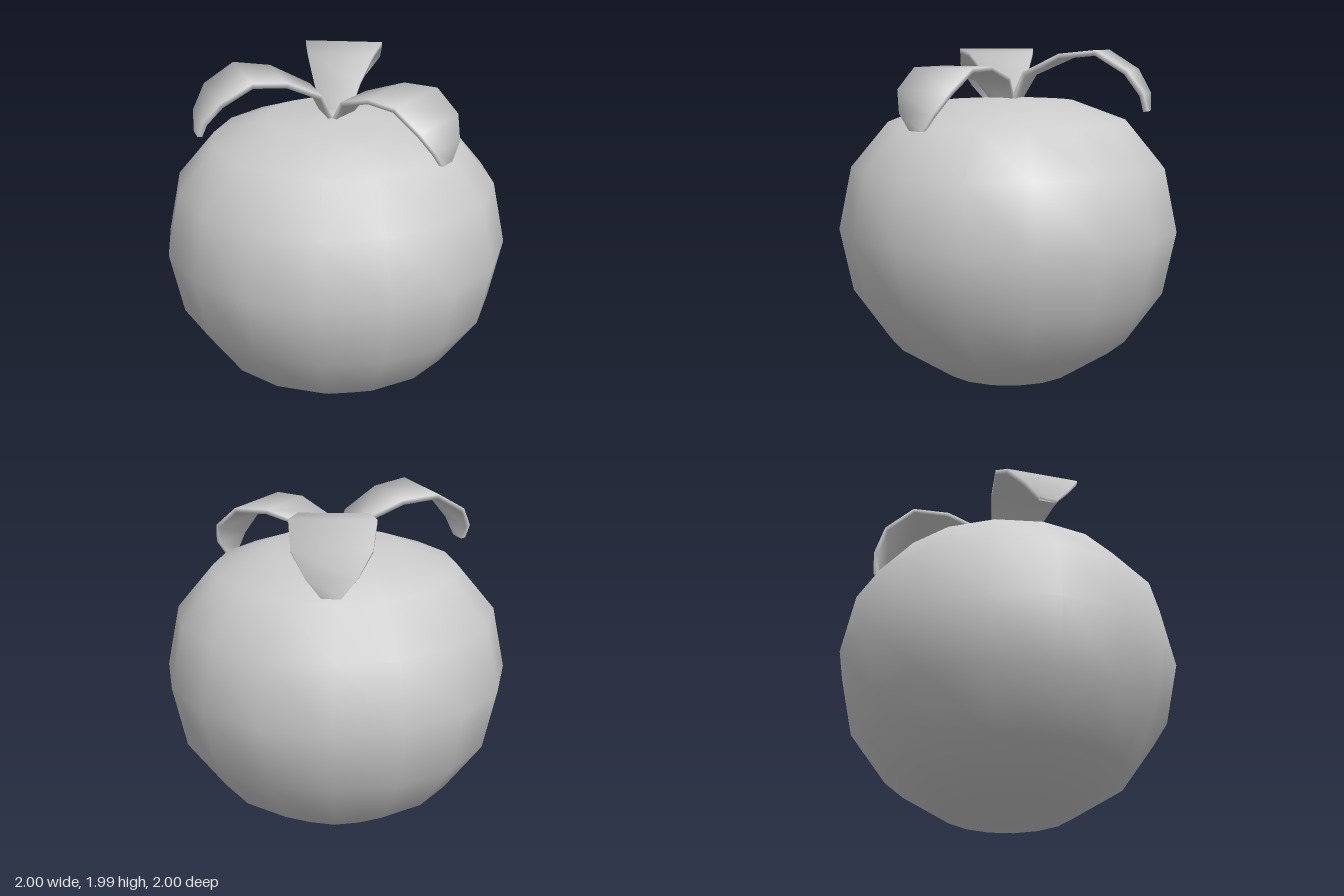
import * as THREE from 'three';

const material = new THREE.MeshStandardMaterial({ color: 0xcccccc });

// Round fruit: a 16-sided lathe, flattened on top
function makeBody() {
  const profile = [
    [0, 0.01], [0.383, 0.08], [0.707, 0.285], [0.924, 0.59], [1, 0.955],
    [0.924, 1.32], [0.707, 1.58], [0.383, 1.70], [0, 1.722],
  ].map(([r, y]) => new THREE.Vector2(r, y));
  const body = new THREE.Mesh(new THREE.LatheGeometry(profile, 16), material);
  body.name = 'fruitBody';
  return body;
}

// Leaf sections along +x: distance, height above the root, half width
const SECTIONS = [
  [0.03, -0.03, 0.07], [0.12, 0.155, 0.13], [0.33, 0.26, 0.19], [0.53, 0.285, 0.225],
  [0.70, 0.185, 0.205], [0.78, 0.065, 0.13], [0.795, -0.03, 0.05],
];
const HALF_THICKNESS = 0.014;

// Thin arched solid with four corners per section and softly rounded normals
function makeLeafGeometry() {
  const positions = [], normals = [], index = [];
  const last = SECTIONS.length - 1;
  SECTIONS.forEach(([x, y, w], i) => {
    const p = SECTIONS[Math.max(i - 1, 0)], q = SECTIONS[Math.min(i + 1, last)];
    const up = new THREE.Vector2(p[1] - q[1], q[0] - p[0]).normalize();
    for (const [v, s] of [[1, 1], [1, -1], [-1, -1], [-1, 1]]) {
      positions.push(x + up.x * v * HALF_THICKNESS, y + up.y * v * HALF_THICKNESS, s * w);
      const n = new THREE.Vector3(up.x * v, up.y * v, s * 0.8).normalize();
      normals.push(n.x, n.y, n.z);
    }
  });
  for (let i = 0; i < last; i++) {
    for (let k = 0; k < 4; k++) {
      const a = i * 4 + k, b = i * 4 + (k + 1) % 4;
      index.push(a, a + 4, b + 4, a, b + 4, b);
    }
  }
  // End caps
  const t = last * 4;
  index.push(0, 1, 2, 0, 2, 3, t, t + 2, t + 1, t, t + 3, t + 2);
  const geometry = new THREE.BufferGeometry();
  geometry.setAttribute('position', new THREE.Float32BufferAttribute(positions, 3));
  geometry.setAttribute('normal', new THREE.Float32BufferAttribute(normals, 3));
  geometry.setIndex(index);
  return geometry;
}

export function createModel() {
  const model = new THREE.Group();
  model.name = 'leafyFruit';
  model.add(makeBody());

  // Three leaves fanned around the top
  const leafGeometry = makeLeafGeometry();
  const leaves = [
    { name: 'rightLeaf', yaw: 180, pitch: 0, scale: 1 },
    { name: 'backLeaf', yaw: 67, pitch: -1.5, scale: 1.03 },
    { name: 'frontLeaf', yaw: -51, pitch: -9, scale: 0.93 },
  ];
  for (const { name, yaw, pitch, scale } of leaves) {
    const leaf = new THREE.Mesh(leafGeometry, material);
    leaf.name = name;
    leaf.position.y = 1.7;
    leaf.rotation.set(0, THREE.MathUtils.degToRad(yaw), THREE.MathUtils.degToRad(pitch), 'YXZ');
    leaf.scale.set(scale, scale, 1.03);
    model.add(leaf);
  }
  return model;
}
